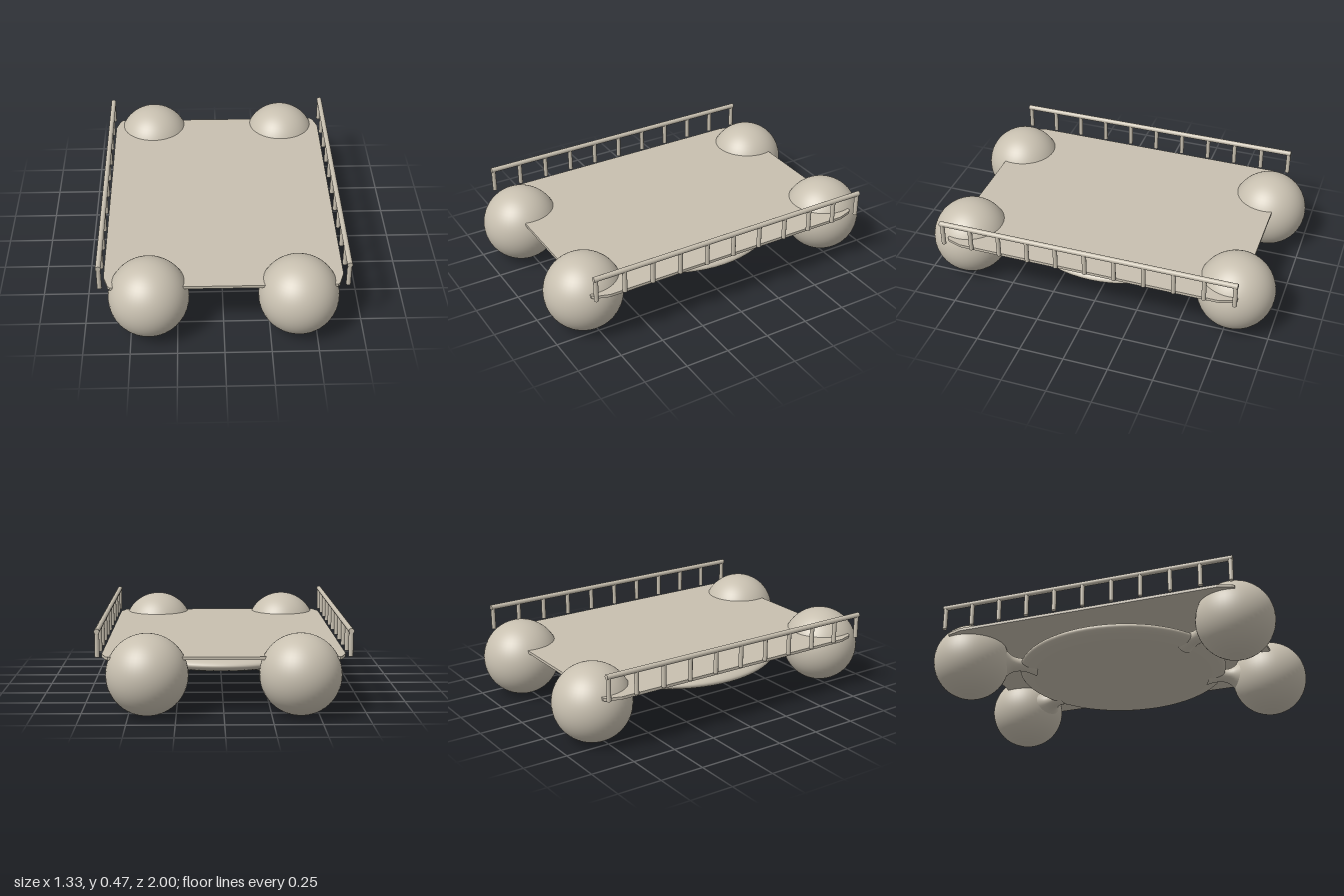
import * as THREE from 'three';

export function createModel() {
  const model = new THREE.Group();
  model.name = 'platform';
  const mat = new THREE.MeshStandardMaterial({ color: 0xc8c0b0 });
  mat.name = 'warm stone';

  const add = (name, geometry, x = 0, y = 0, z = 0, parent = model) => {
    const mesh = new THREE.Mesh(geometry, mat);
    mesh.name = name;
    mesh.position.set(x, y, z);
    parent.add(mesh);
    return mesh;
  };

  // Thin deck with tapered corners
  const quarter = [[0.637, 0.745], [0.612, 0.822], [0.6, 0.835]];
  const mirrored = (sx, sz) => quarter.map(([x, z]) => new THREE.Vector2(x * sx, z * sz));
  const outline = [
    ...mirrored(1, 1), ...mirrored(-1, 1).reverse(),
    ...mirrored(-1, -1), ...mirrored(1, -1).reverse(),
  ];
  const deck = new THREE.ExtrudeGeometry(new THREE.Shape(outline), { depth: 0.016, bevelEnabled: false });
  deck.rotateX(Math.PI / 2);
  add('deck', deck, 0, 0.319, 0);

  // Flattened hull below the deck
  const hull = new THREE.SphereGeometry(1, 64, 40);
  hull.scale(0.575, 0.081, 0.605);
  add('hull', hull, 0, 0.22, 0);

  // Corner floats, each joined to the hull by a flared neck
  const ball = new THREE.SphereGeometry(0.216, 48, 32);
  const profile = new THREE.SplineCurve([
    [0.07, 0.5], [0.05, 0.55], [0.043, 0.6], [0.055, 0.645], [0.085, 0.68], [0.115, 0.705],
  ].map(([r, d]) => new THREE.Vector2(r, d))).getPoints(16);
  const neck = new THREE.LatheGeometry(profile, 32);
  neck.scale(1, 1, 0.85);
  neck.rotateX(Math.PI / 2); // axis along +z, flatter vertically
  for (const sx of [1, -1]) {
    for (const sz of [1, -1]) {
      add('cornerFloat', ball, sx * 0.4, 0.217, sz * 0.784);
      add('floatNeck', neck, 0, 0.22, 0).rotation.y = Math.atan2(sx * 0.4, sz * 0.784);
    }
  }

  // Side railings with eleven posts each
  const bar = new THREE.CylinderGeometry(0.0145, 0.0145, 1.69, 16);
  bar.rotateX(Math.PI / 2);
  const post = new THREE.CylinderGeometry(0.0125, 0.0125, 0.135, 12);
  for (const sx of [1, -1]) {
    const railing = new THREE.Group();
    railing.name = sx > 0 ? 'leftRailing' : 'rightRailing';
    railing.position.x = sx * 0.652;
    model.add(railing);
    add('handrail', bar, 0, 0.453, 0, railing);
    for (let i = -5; i <= 5; i++) add('post', post, 0, 0.3875, i * 0.1665, railing);
  }
  return model;
}
